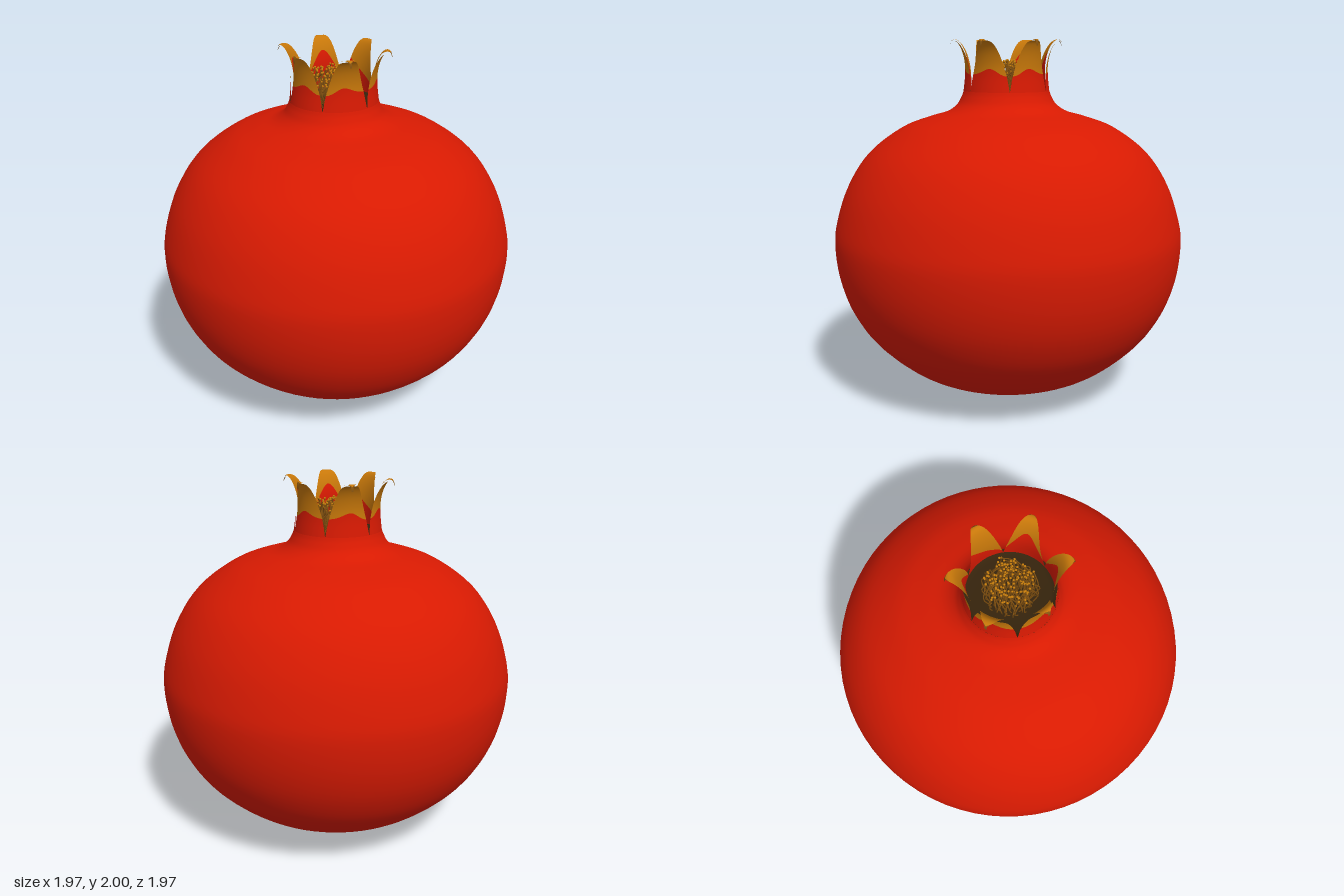
import * as THREE from 'three';
import { mergeGeometries } from 'three/addons/utils/BufferGeometryUtils.js';

const mat = (name, color, side = THREE.FrontSide) =>
  Object.assign(new THREE.MeshStandardMaterial({ color, side }), { name });
const v2 = ([x, y]) => new THREE.Vector2(x, y);
const NECK_Z = 0.015;

export function createModel() {
  const red = mat('skinRed', 0xd81a02);
  const ochre = mat('sepalOchre', 0xc8780a);
  const dark = mat('cupBrown', 0x35230c, THREE.DoubleSide);
  const dried = mat('driedBrown', 0x845210);
  const anther = mat('antherGold', 0xc87e0c);
  const scar = mat('scarOlive', 0xb2740a);

  const group = new THREE.Group();
  const add = (name, geometry, material) => {
    const mesh = new THREE.Mesh(geometry, material);
    mesh.name = name;
    group.add(mesh);
    return mesh;
  };

  // Fruit body with a short neck, leaning very slightly forward at the neck
  const profile = new THREE.SplineCurve([
    [0, 0.004], [0.2, 0.02], [0.4, 0.077], [0.6, 0.175], [0.79, 0.343], [0.9, 0.51], [0.96, 0.68],
    [0.983, 0.86], [0.968, 1.0], [0.9, 1.2], [0.78, 1.38], [0.6, 1.515], [0.45, 1.573],
    [0.34, 1.605], [0.28, 1.645], [0.252, 1.69], [0.241, 1.72],
  ].map(v2));
  const body = new THREE.LatheGeometry(profile.getPoints(80), 72);
  const p = body.attributes.position;
  for (let i = 0; i < p.count; i++) {
    p.setZ(i, p.getZ(i) + NECK_Z * THREE.MathUtils.smoothstep(p.getY(i), 1.5, 1.7));
  }
  add('fruitBody', body, red);

  // Irregular scar underneath, with a dark centre
  const disc = (radius, lift, wobble) => {
    const pts = [0, 0.25, 0.5, 0.75, 1].map((t) => v2([t * radius, 0.004 + 0.011 * (t * radius / 0.15) ** 2 - lift]));
    const g = new THREE.LatheGeometry(pts, 40);
    const q = g.attributes.position;
    for (let i = 0; i < q.count; i++) {
      const a = Math.atan2(q.getX(i), q.getZ(i));
      const s = 1 + wobble * (Math.sin(3 * a + 1) + 0.6 * Math.sin(7 * a));
      q.setX(i, q.getX(i) * s);
      q.setZ(i, q.getZ(i) * s);
    }
    return g;
  };
  add('bottomScar', disc(0.132, 0.003, 0.08), scar);
  add('bottomScarCentre', disc(0.03, 0.004, 0.1), dark);

  // Dark floor closing the neck inside the crown
  const cup = new THREE.LatheGeometry(
    [[0.241, 1.72], [0.222, 1.712], [0.205, 1.698], [0.1, 1.702], [0, 1.705]].map(v2), 72);
  add('crownCup', cup, dark).position.z = NECK_Z;

  // Six pointed sepals: outer and inner sheets, curling outward to a dried tip
  const curl = new THREE.SplineCurve([
    [0.241, 1.718], [0.232, 1.8], [0.232, 1.87], [0.246, 1.935], [0.272, 1.983],
    [0.298, 1.992], [0.312, 1.968],
  ].map(v2));
  const RED_ROWS = 10, TIP_ROW = 25, ROWS = 30, COLS = 14;
  const sepalSheet = (index, inner) => {
    const centre = (index * Math.PI) / 3;
    const facing = index % 3 === 0;
    const reach = facing ? 0.68 : 0.98;
    const pos = [], faces = [[], [], []];
    for (let j = 0; j <= ROWS; j++) {
      for (let i = 0; i <= COLS; i++) {
        const s = (2 * i) / COLS - 1;
        // Rows follow the wavy edge between red base and ochre blade
        const innerEdge = facing ? 0.24 + 0.15 * s : 0.48 - 0.34 * s * s;
        const outerEdge = 0.23 + 0.04 * Math.cos(s * Math.PI) + 0.01 * Math.sin(5 * s + centre * 3);
        const edge = inner ? innerEdge : outerEdge;
        const k = j <= RED_ROWS
          ? (edge * j) / RED_ROWS
          : edge + ((1 - edge) * (j - RED_ROWS)) / (ROWS - RED_ROWS);
        const c = curl.getPoint(k);
        const t = curl.getTangent(k);
        const inset = inner ? 0.016 * (1 - k ** 3) : 0;
        const r = 0.232 + (c.x - 0.232) * (k < 0.3 ? 1 : reach) - inset * t.y;
        const width = Math.max(1 - 1.15 * k ** 1.25, 0.14 - 0.11 * k);
        const a = centre + s * (Math.PI / 6) * width;
        pos.push(r * Math.sin(a), c.y + inset * t.x, r * Math.cos(a));
        if (i === COLS || j === ROWS) continue;
        const n = j * (COLS + 1) + i, m = n + COLS + 1;
        const quad = inner ? [n, m + 1, n + 1, n, m, m + 1] : [n, n + 1, m + 1, n, m + 1, m];
        faces[j < RED_ROWS ? 0 : j < TIP_ROW ? 1 : 2].push(...quad);
      }
    }
    const g = new THREE.BufferGeometry();
    g.setAttribute('position', new THREE.Float32BufferAttribute(pos, 3));
    g.setIndex(faces.flat());
    let start = 0;
    faces.forEach((f, m) => {
      g.addGroup(start, f.length, m);
      start += f.length;
    });
    g.computeVertexNormals();
    return g;
  };
  for (let i = 0; i < 6; i++) {
    for (const inner of [false, true]) {
      add(inner ? 'sepalInside' : 'sepalOutside', sepalSheet(i, inner), [red, ochre, dried])
        .position.z = NECK_Z;
    }
  }

  // Tuft of bent stamens
  let seed = 7;
  const rand = () => (seed = (seed * 16807) % 2147483647) / 2147483647;
  const stems = [], tips = [];
  for (let i = 0; i < 150; i++) {
    const a = i * 2.39996;
    const r = 0.125 * Math.sqrt((i + 0.5) / 150);
    const h = 1.81 + 0.08 * rand();
    const at = (rad, ang, y) => new THREE.Vector3(rad * Math.sin(ang), y, rad * Math.cos(ang));
    const end = at(r * (0.85 + 0.25 * rand()), a + rand() - 0.5, h);
    const path = new THREE.CatmullRomCurve3([
      at(r, a, 1.7), at(r * 1.1 + 0.01, a + 0.4 * (rand() - 0.5), 1.78), end,
    ]);
    stems.push(new THREE.TubeGeometry(path, 6, 0.0035, 4));
    tips.push(new THREE.SphereGeometry(0.0065, 6, 4).translate(end.x, end.y, end.z));
  }
  add('stamenFilaments', mergeGeometries(stems), dried).position.z = NECK_Z;
  add('stamenAnthers', mergeGeometries(tips), anther).position.z = NECK_Z;

  return group;
}
